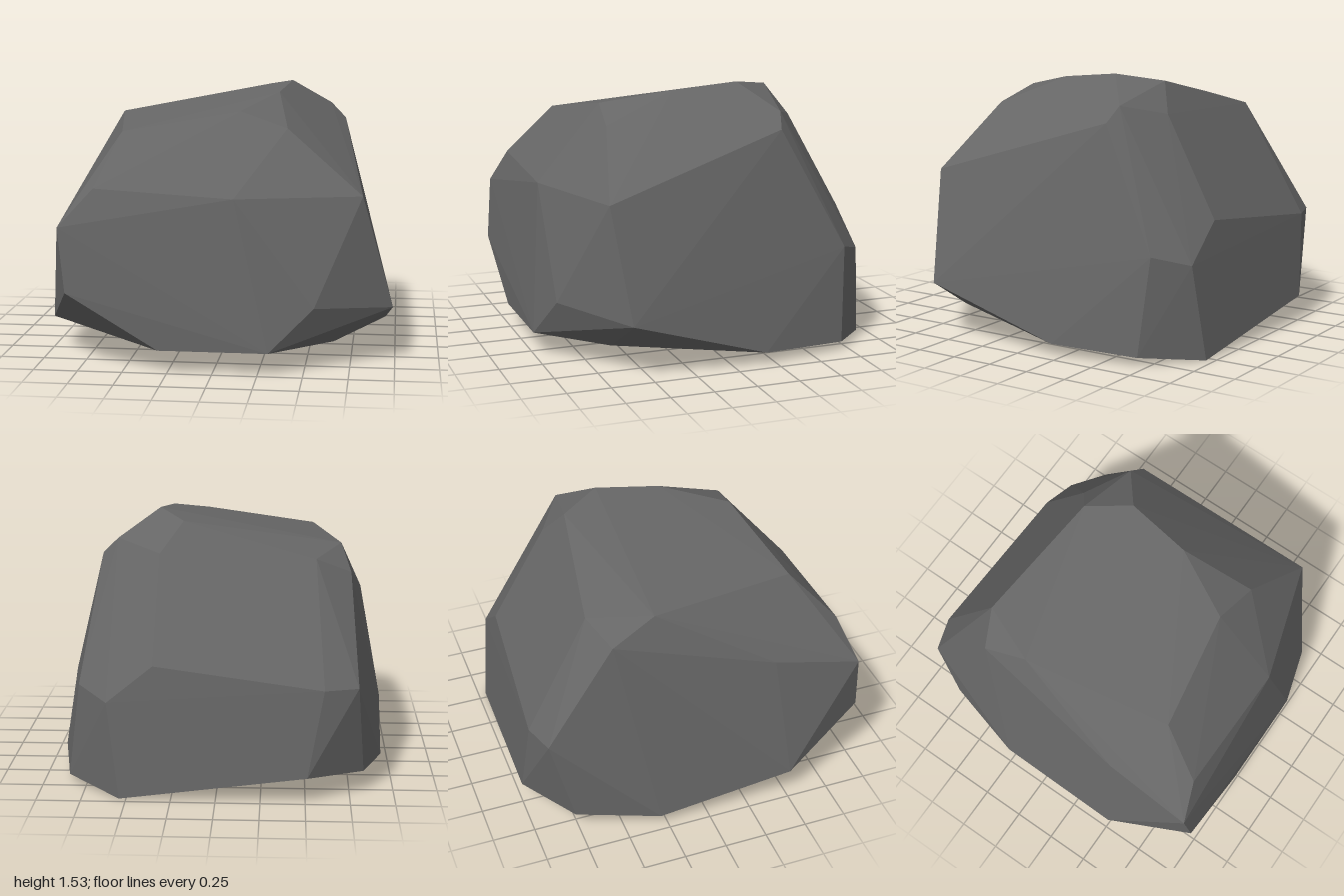
import * as THREE from 'three';
import { ConvexGeometry } from 'three/addons/geometries/ConvexGeometry.js';

export function createModel() {
  const stone = new THREE.MeshStandardMaterial({ color: 0x666666 });
  stone.name = 'dark grey stone';
  stone.flatShading = true;

  // Corners of the faceted boulder, grouped by region
  const crown = [
    [0.35, 1.53, -0.23], [0.2, 1.49, -0.47], [0.3, 1.49, 0.15], [0.11, 1.41, 0.53],
    [0.38, 1.32, 0.57], [-0.55, 1.3, 0.63], [-0.7, 1.33, -0.24], [-0.55, 1.3, -0.59],
    [-0.75, 1.21, -0.5], [0.58, 1.38, -0.41], [0.67, 1.29, -0.38], [0.33, 1.32, -0.57],
  ];
  const frontCorners = [
    [0.81, 0.96, 0.69], [0.11, 0.965, 0.905], [-0.67, 1.01, 0.895], [-0.86, 0.8, 0.965],
    [-0.85, 0.93, 0.44], [-0.815, 0.44, 1], [0.555, 0.37, 0.925], [0.985, 0.32, 0.615],
  ];
  const backCorners = [
    [0.78, 0.6, -0.74], [0.61, 0.54, -0.9], [0.35, 0.75, -0.89],
    [-0.6, 0.64, -0.96], [-0.79, 0.64, -0.9], [-0.51, 0.15, -1],
  ];
  const base = [
    [-0.3, 0.13, 1], [0.31, 0.13, 1], [0.655, 0.12, 0.645], [0.94, 0.07, -0.19],
    [0.85, 0.05, -0.7], [0.54, 0, -0.955], [-0.83, 0.12, -0.77], [-0.955, 0.06, -0.29],
    [-0.99, 0.19, 0.51],
  ];

  const corners = [...crown, ...frontCorners, ...backCorners, ...base]
    .map((p) => new THREE.Vector3(...p));
  const boulder = new THREE.Mesh(new ConvexGeometry(corners), stone);
  boulder.name = 'boulder';

  const group = new THREE.Group();
  group.name = 'rock';
  group.add(boulder);
  return group;
}
